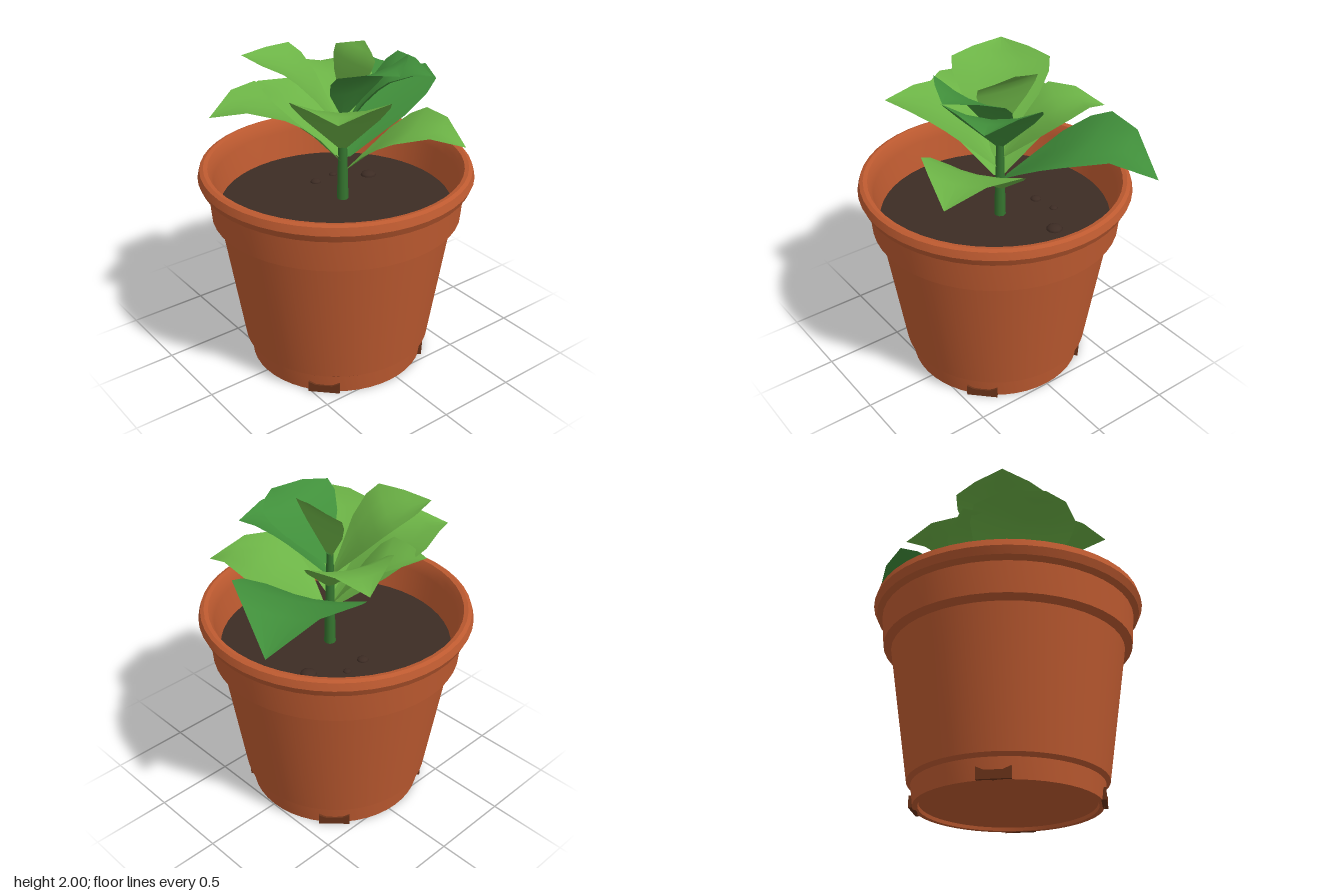
import * as THREE from 'three';
import { toCreasedNormals } from 'three/addons/utils/BufferGeometryUtils.js';

const mat = (name, color, side = THREE.FrontSide) => {
  const m = new THREE.MeshStandardMaterial({ color, side });
  m.name = name;
  return m;
};

// Shared leaf outline: [fraction of length, fraction of half width]
const OUTLINE = [[0.03, 0.09], [0.28, 0.78], [0.43, 0.98], [0.56, 1], [0.78, 0.58], [1, 0]];
const ACROSS = [-1, -0.5, 0, 0.5, 1];
const CREST = 0.75;

// Leaf growing from the stem towards (tipX, tipZ): it arches from baseY up to
// crestY, then bends to tipY, with its edges curled up by lift * width.
function leafGeometry(tipX, tipZ, baseY, crestY, tipY, halfWidth, lift) {
  const pos = [], index = [];
  const len = Math.hypot(tipX, tipZ);
  OUTLINE.forEach(([t, width], i) => {
    const w = width * halfWidth;
    const y = t < CREST
      ? baseY + (crestY - baseY) * Math.sin((t / CREST) * Math.PI / 2)
      : crestY + (tipY - crestY) * ((t - CREST) / (1 - CREST)) ** 2;
    ACROSS.forEach((s, j) => {
      pos.push(tipX * t - (tipZ / len) * s * w, y + lift * w * s * s, tipZ * t + (tipX / len) * s * w);
      if (i && j) {
        const d = i * ACROSS.length + j, b = d - ACROSS.length;
        index.push(b - 1, b, d - 1, b, d, d - 1);
      }
    });
  });
  const g = new THREE.BufferGeometry();
  g.setAttribute('position', new THREE.Float32BufferAttribute(pos, 3));
  g.setIndex(index);
  g.computeVertexNormals();
  return g;
}

export function createModel() {
  const group = new THREE.Group();
  const terracotta = mat('terracotta', 0xbd5a30);
  const shadowClay = mat('dark clay', 0x6b3319);
  const soilMat = mat('soil', 0x3d2c24);
  const stemMat = mat('stem green', 0x35752f);
  const light = mat('light leaf green', 0x6cb346, THREE.DoubleSide);
  const deep = mat('deep leaf green', 0x41903b, THREE.DoubleSide);

  const add = (parent, name, geo, material, x = 0, y = 0, z = 0) => {
    const m = new THREE.Mesh(geo, material);
    m.name = name;
    m.position.set(x, y, z);
    parent.add(m);
    return m;
  };

  // Pot: one turned profile from the recessed floor, up the outside, down the inside
  const pot = new THREE.Group();
  pot.name = 'pot';
  pot.position.x = -0.05;
  group.add(pot);
  const profile = [
    [0, 0.02], [0.51, 0.02], [0.515, 0], [0.545, 0], [0.56, 0.12], [0.585, 0.14],
    [0.708, 0.955], [0.755, 0.98], [0.77, 1.17], [0.805, 1.19], [0.825, 1.235],
    [0.812, 1.28], [0.79, 1.29], [0.765, 1.285], [0.745, 1.25], [0.735, 1.2], [0.7, 1],
  ].map(([r, y]) => new THREE.Vector2(r, y));
  add(pot, 'potBody', toCreasedNormals(new THREE.LatheGeometry(profile, 48), 0.4), terracotta);

  // Four drainage notches on the diagonals of the base
  const notch = new THREE.Shape([
    [-0.095, 0], [0.095, 0], [0.095, 0.07], [0.05, 0.05], [-0.05, 0.05], [-0.095, 0.07],
  ].map(([x, y]) => new THREE.Vector2(x, y)));
  const notchGeo = new THREE.ExtrudeGeometry(notch, { depth: 0.03, bevelEnabled: false });
  for (let i = 0; i < 4; i++) {
    const a = Math.PI / 4 + i * Math.PI / 2;
    add(pot, 'drainNotch', notchGeo, shadowClay, Math.sin(a) * 0.53, 0, Math.cos(a) * 0.53).rotation.y = a;
  }

  // Soil with a few half-buried lumps
  add(pot, 'soil', new THREE.CylinderGeometry(0.705, 0.7, 0.03, 48), soilMat, 0, 1.015, 0);
  for (const [x, z, r] of [[0.38, -0.16, 0.05], [0.05, -0.28, 0.035], [0.2, -0.3, 0.025]]) {
    add(pot, 'soilLump', new THREE.SphereGeometry(r, 10, 6), soilMat, x, 1.03, z).scale.y = 0.5;
  }

  // Plant
  const plant = new THREE.Group();
  plant.name = 'plant';
  group.add(plant);
  add(plant, 'stem', new THREE.CylinderGeometry(0.02, 0.036, 0.62, 8), stemMat, 0, 1.33, 0);

  // Leaves by tier: tip x, tip z, base y, crest y, tip y, half width, edge lift
  const leaves = [
    ['lowerRightLeaf', deep, 0.87, -0.43, 1.27, 1.66, 1.53, 0.37, 0.15],
    ['lowerFrontLeaf', light, 0.38, 0.65, 1.2, 1.56, 1.49, 0.3, 0.15],
    ['lowerLeftLeaf', light, -0.75, -0.25, 1.26, 1.71, 1.66, 0.33, 0.15],
    ['lowerBackLeaf', light, -0.27, -0.5, 1.28, 1.67, 1.7, 0.24, 0.15],
    ['middleBackLeaf', light, 0.26, -0.57, 1.41, 1.74, 1.7, 0.25, 0.2],
    ['middleFrontLeaf', light, -0.42, 0.51, 1.34, 1.77, 1.78, 0.28, 0.2],
    ['middleRightLeaf', deep, 0.36, 0.37, 1.48, 1.85, 1.84, 0.28, 0.25],
    ['upperLeftLeaf', light, -0.46, -0.35, 1.48, 1.9, 1.94, 0.29, 0.2],
    ['upperFrontLeaf', deep, 0.06, 0.43, 1.55, 1.92, 1.92, 0.29, 0.15],
    ['youngLeaf', light, 0.15, 0.01, 1.6, 1.96, 2, 0.2, 0.05],
  ];
  for (const [name, material, ...form] of leaves) add(plant, name, leafGeometry(...form), material);
  return group;
}
